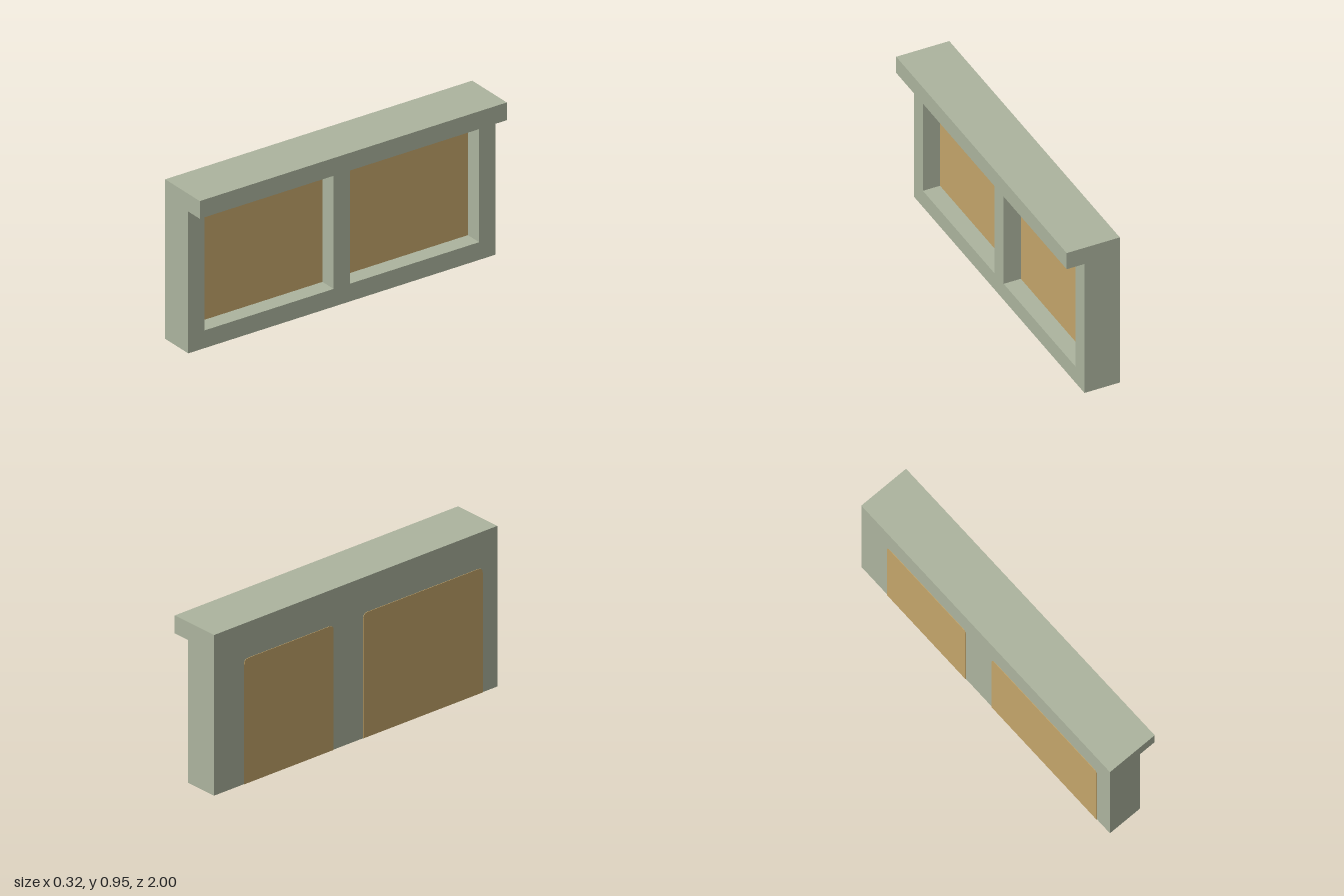
import * as THREE from 'three';

export function createModel() {
  const group = new THREE.Group();
  const frameGreen = new THREE.MeshStandardMaterial({ color: 0xacb49e });
  frameGreen.name = 'frameGreen';
  const panelTan = new THREE.MeshStandardMaterial({ color: 0xc4a56a });
  panelTan.name = 'panelTan';

  const U = 2 / 19; // module that every part is sized by
  const BACK = -1.5 * U;
  const PLATE = 0.003;

  // Box from its minimum and maximum corners
  function addBox(name, material, [x0, y0, z0], [x1, y1, z1]) {
    const mesh = new THREE.Mesh(new THREE.BoxGeometry(x1 - x0, y1 - y0, z1 - z0), material);
    mesh.position.set((x0 + x1) / 2, (y0 + y1) / 2, (z0 + z1) / 2);
    mesh.name = name;
    group.add(mesh);
  }

  // Back wall and overhanging top ledge
  addBox('backWall', frameGreen, [BACK, 0, -1], [-0.5 * U, 8 * U, 1]);
  addBox('topLedge', frameGreen, [BACK, 8 * U, -1], [1.5 * U, 9 * U, 1]);

  // Front frame: bottom rail and three posts
  addBox('bottomRail', frameGreen, [-0.5 * U, 0, -1], [0.5 * U, U, 1]);
  for (const z of [-9, 0, 9]) {
    addBox('post', frameGreen, [-0.5 * U, U, (z - 0.5) * U], [0.5 * U, 8 * U, (z + 0.5) * U]);
  }

  // Recessed panels between the posts
  for (const z of [-4.5, 4.5]) {
    addBox('frontPanel', panelTan, [-0.5 * U, U, (z - 4) * U], [-0.5 * U + PLATE, 8 * U, (z + 4) * U]);
  }

  // Painted panels on the back, with clipped upper corners
  for (const [z0, z1] of [[-7.5, -1.5], [0.5, 8.5]]) {
    const a = -z1 * U, b = -z0 * U, top = 7 * U, cut = 0.03;
    const shape = new THREE.Shape();
    shape.moveTo(a, 0);
    shape.lineTo(b, 0);
    shape.lineTo(b, top - cut);
    shape.quadraticCurveTo(b, top, b - cut, top);
    shape.lineTo(a + cut, top);
    shape.quadraticCurveTo(a, top, a, top - cut);
    shape.closePath();
    const geometry = new THREE.ExtrudeGeometry(shape, { depth: PLATE, bevelEnabled: false, curveSegments: 3 });
    geometry.rotateY(Math.PI / 2);
    const mesh = new THREE.Mesh(geometry, panelTan);
    mesh.position.x = BACK - PLATE;
    mesh.name = 'backPanel';
    group.add(mesh);
  }

  return group;
}
